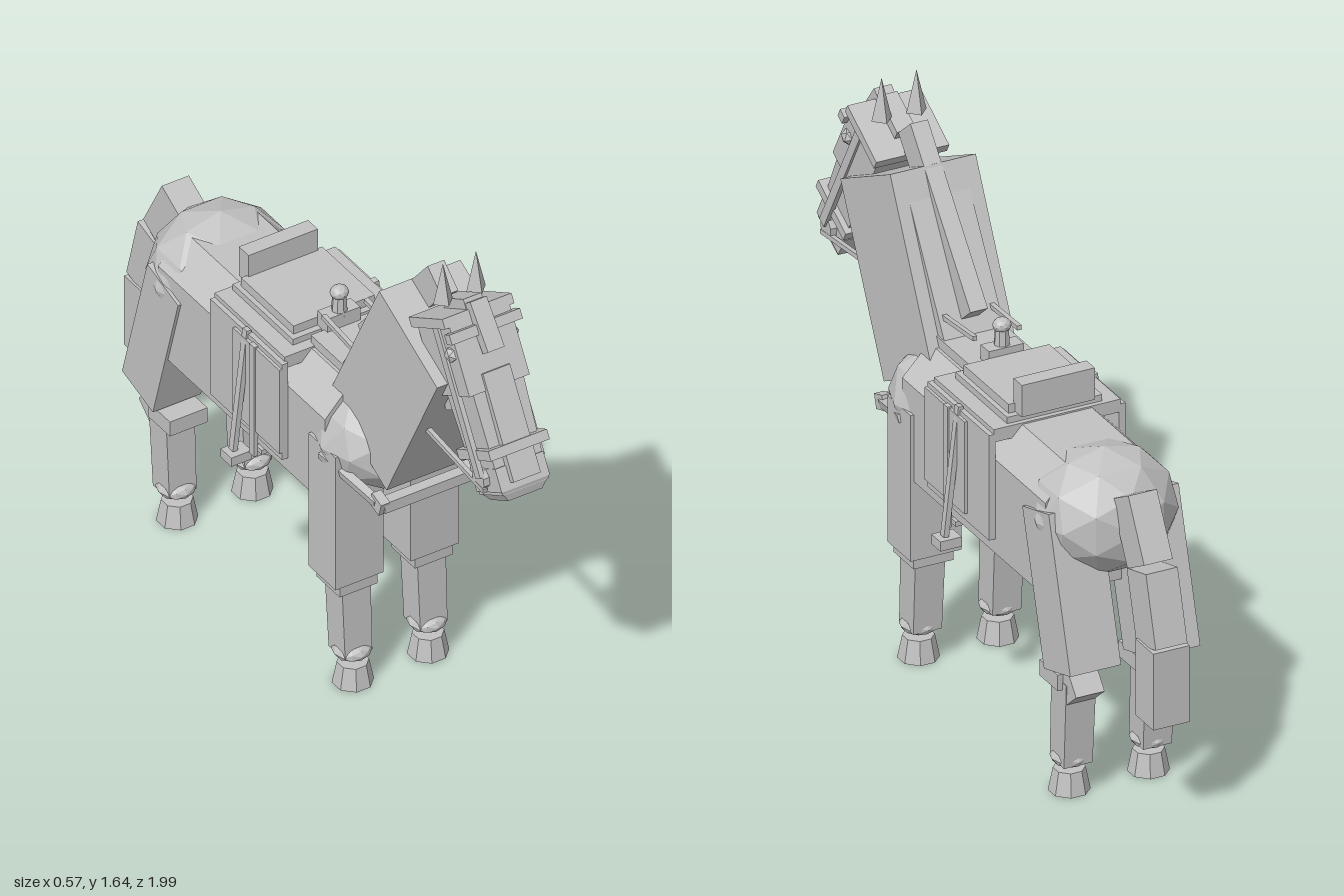
import * as THREE from 'three';

export function createModel() {
  const model = new THREE.Group();
  model.name = 'saddledHorse';
  const grey = new THREE.MeshStandardMaterial({ color: 0xc2c2c2, flatShading: true });
  grey.name = 'plain grey';

  // Helpers
  const add = (name, geo, [x, y, z], tilt = 0, parent = model) => {
    const m = new THREE.Mesh(geo, grey);
    m.name = name;
    m.position.set(x, y, z);
    m.rotation.x = tilt;
    parent.add(m);
    return m;
  };
  const box = (name, [w, h, d], pos, tilt = 0, parent = model) =>
    add(name, new THREE.BoxGeometry(w, h, d), pos, tilt, parent);
  const blob = (name, [rx, ry, rz], pos, detail = 1, parent = model) =>
    add(name, new THREE.IcosahedronGeometry(1, detail).scale(rx, ry, rz), pos, 0, parent);
  // Box whose lower end is scaled in width and depth
  const taper = (name, size, pos, sx, sz, tilt = 0, parent = model) => {
    const g = new THREE.BoxGeometry(...size);
    const p = g.attributes.position;
    for (let i = 0; i < p.count; i++) {
      if (p.getY(i) < 0) p.setXYZ(i, p.getX(i) * sx, p.getY(i), p.getZ(i) * sz);
    }
    return add(name, g, pos, tilt, parent);
  };
  // Square bar between two points
  const bar = (name, a, b, w, d = w) => {
    const p = new THREE.Vector3(...a), q = new THREE.Vector3(...b);
    const m = box(name, [w, p.distanceTo(q), d], [0, 0, 0]);
    m.position.copy(p).lerp(q, 0.5);
    m.quaternion.setFromUnitVectors(new THREE.Vector3(0, 1, 0), q.sub(p).normalize());
    return m;
  };

  // Barrel with chamfered back
  const section = new THREE.Shape([[-0.195, 0.615], [0.195, 0.615], [0.195, 0.91],
    [0.11, 1.0], [-0.11, 1.0], [-0.195, 0.91]].map(p => new THREE.Vector2(...p)));
  add('barrel', new THREE.ExtrudeGeometry(section, { depth: 0.86, bevelEnabled: false }), [0, 0, -0.61]);
  box('withers', [0.2, 0.07, 0.2], [0, 0.995, 0.13]);
  blob('chest', [0.215, 0.175, 0.185], [0, 0.825, 0.26]);
  blob('rump', [0.215, 0.19, 0.195], [0, 0.845, -0.59]);

  // Neck, crest and mane
  box('neck', [0.27, 0.58, 0.335], [0, 1.115, 0.455], 0.467);
  box('crest', [0.19, 0.46, 0.05], [0, 1.19, 0.315], 0.55);
  box('mane', [0.055, 0.56, 0.095], [0, 1.3, 0.375], 0.7);

  // Head, built upright and tilted forward
  const head = new THREE.Group();
  head.name = 'head';
  head.position.set(0, 1.353, 0.72);
  head.rotation.x = -0.52;
  model.add(head);
  box('skull', [0.2, 0.22, 0.19], [0, 0.02, 0], 0, head);
  taper('muzzle', [0.17, 0.34, 0.16], [0, -0.22, 0.01], 0.9, 0.85, 0, head);
  box('noseBridge', [0.09, 0.32, 0.03], [0, -0.2, 0.09], 0, head);
  box('nose', [0.16, 0.07, 0.15], [0, -0.345, 0.01], 0, head);
  taper('lips', [0.16, 0.035, 0.15], [0, -0.395, 0.01], 0.7, 0.7, 0, head);
  box('jaw', [0.14, 0.13, 0.06], [0, -0.08, -0.1], 0, head);
  box('crownpiece', [0.23, 0.03, 0.2], [0, 0.13, -0.005], 0, head);
  box('browband', [0.235, 0.03, 0.03], [0, 0.085, 0.1], 0, head);
  box('noseband', [0.195, 0.03, 0.19], [0, -0.265, 0.015], 0, head);
  box('forelock', [0.055, 0.15, 0.035], [0, 0.09, 0.11], -0.15, head);
  box('poll', [0.06, 0.05, 0.13], [0, 0.15, 0.02], 0, head);
  for (const s of [-1, 1]) {
    box('cheekStrap', [0.015, 0.46, 0.03], [s * 0.1, -0.1, 0.02], 0, head);
    blob('eye', [0.02, 0.025, 0.025], [s * 0.1, 0.035, 0.06], 0, head);
    const ring = add('bitRing', new THREE.CylinderGeometry(0.032, 0.032, 0.02, 8), [s * 0.09, -0.335, 0.005], 0, head);
    ring.rotation.z = Math.PI / 2;
    add('ear', new THREE.ConeGeometry(0.032, 0.13, 4), [s * 0.055, 1.575, 0.64]);
    bar('rein', [s * 0.095, 1.04, 0.92], [s * 0.07, 1.095, 0.05], 0.014);
  }

  for (const s of [-1, 1]) {
    const x = s * 0.125;
    // Front leg
    box('frontUpperLeg', [0.16, 0.46, 0.14], [x, 0.595, 0.25]);
    box('frontKnee', [0.125, 0.04, 0.12], [x, 0.35, 0.255]);
    taper('frontLowerLeg', [0.095, 0.26, 0.09], [x, 0.235, 0.265], 0.95, 0.95, -0.06);
    // Hind leg
    box('thigh', [0.16, 0.47, 0.165], [x, 0.647, -0.635], 0.28);
    box('hock', [0.125, 0.05, 0.11], [x, 0.37, -0.615]);
    box('hockPoint', [0.09, 0.09, 0.075], [x, 0.365, -0.69], 0.7);
    taper('hindLowerLeg', [0.095, 0.27, 0.09], [x, 0.235, -0.64], 0.95, 0.95, -0.06);
    // Fetlocks and hooves
    for (const z of [0.28, -0.625]) {
      blob('fetlock', [0.058, 0.03, 0.057], [x, 0.11, z]);
      add('hoof', new THREE.CylinderGeometry(0.046, 0.06, 0.07, 8).rotateY(Math.PI / 8), [x, 0.035, z + 0.005]);
    }
  }

  // Tail
  box('tailTop', [0.09, 0.2, 0.115], [0, 0.88, -0.82], 0.5);
  box('tailMiddle', [0.1, 0.22, 0.12], [0, 0.68, -0.91], 0.27);
  box('tailEnd', [0.115, 0.24, 0.107], [0, 0.46, -0.943]);

  // Saddle
  box('saddlePad', [0.4, 0.04, 0.36], [0, 0.985, -0.13]);
  box('saddleBase', [0.3, 0.03, 0.31], [0, 1.01, -0.14]);
  box('seat', [0.27, 0.04, 0.27], [0, 1.033, -0.14]);
  box('cantle', [0.23, 0.1, 0.05], [0, 1.077, -0.292]);
  box('pommel', [0.11, 0.07, 0.05], [0, 1.04, 0.02]);
  add('hornPost', new THREE.CylinderGeometry(0.02, 0.024, 0.07, 8), [0, 1.095, 0.022]);
  blob('hornKnob', [0.028, 0.022, 0.026], [0, 1.135, 0.022]);
  box('girthBelly', [0.41, 0.015, 0.03], [0, 0.607, -0.075]);
  for (const s of [-1, 1]) {
    box('saddleFlap', [0.02, 0.33, 0.37], [s * 0.205, 0.825, -0.125]);
    box('flapPanel', [0.012, 0.29, 0.24], [s * 0.218, 0.83, -0.06]);
    box('girthSide', [0.014, 0.38, 0.025], [s * 0.222, 0.79, -0.075]);
    bar('stirrupLeather', [s * 0.212, 1.0, -0.125], [s * 0.258, 0.6, -0.125], 0.016, 0.022);
    box('stirrup', [0.068, 0.03, 0.055], [s * 0.25, 0.583, -0.122]);
    // Breast collar sides
    bar('collarSide', [s * 0.15, 0.73, 0.45], [s * 0.2, 0.79, 0.24], 0.025, 0.025);
    box('collarBuckle', [0.03, 0.045, 0.05], [s * 0.145, 0.73, 0.455], 0.3);
  }
  box('collarFront', [0.29, 0.035, 0.035], [0, 0.725, 0.465]);

  return model;
}
